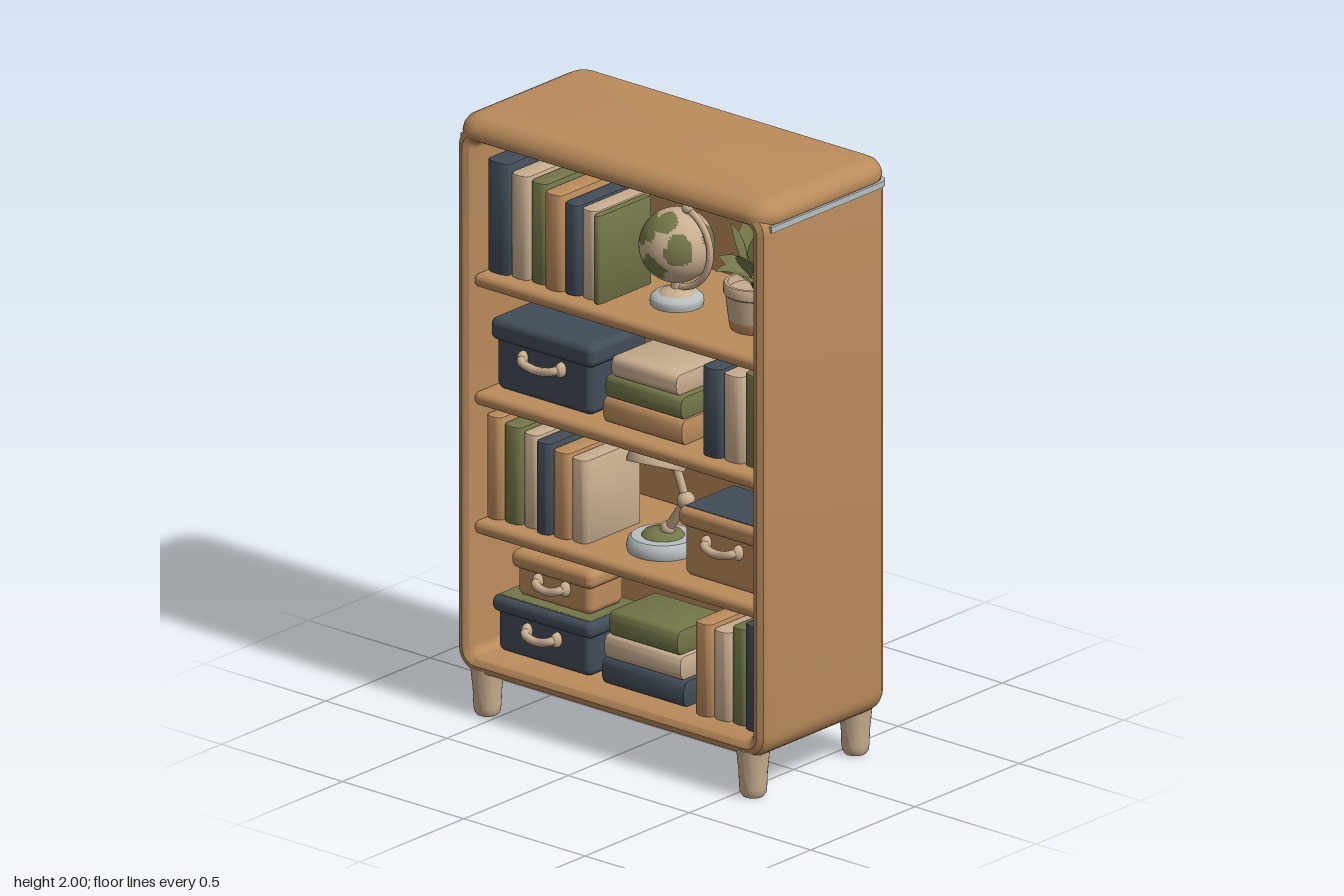
import * as THREE from 'three';
import { toCreasedNormals } from 'three/addons/utils/BufferGeometryUtils.js';
import { RoundedBoxGeometry } from 'three/addons/geometries/RoundedBoxGeometry.js';

const paint = (name, color, side = THREE.FrontSide) => {
  const m = new THREE.MeshStandardMaterial({ color, side });
  m.name = name;
  return m;
};

// Loop of a rounded rectangle, pulled in by inset (null collapses it to the centre)
function rectLoop(w, h, r, inset, z) {
  const pts = [], s = inset === null ? 0 : 1, i = inset ?? 0;
  const q = Math.max(r - i, 0.03), a = w / 2 - i - q, b = h / 2 - i - q;
  [[1, 1], [-1, 1], [-1, -1], [1, -1]].forEach(([sx, sy], c) => {
    for (let k = 0; k <= 6; k++) {
      const t = (c + k / 6) * Math.PI / 2;
      pts.push([s * (sx * a + q * Math.cos(t)), s * (sy * b + q * Math.sin(t)), z]);
    }
  });
  return pts;
}

// Skin over successive loops
function loft(loops) {
  const n = loops[0].length, index = [];
  for (let j = 0; j < loops.length - 1; j++) for (let i = 0; i < n; i++) {
    const a = j * n + i, b = j * n + (i + 1) % n;
    index.push(a, b, b + n, a, b + n, a + n);
  }
  const g = new THREE.BufferGeometry();
  g.setAttribute('position', new THREE.Float32BufferAttribute(loops.flat(2), 3));
  g.setIndex(index);
  return toCreasedNormals(g, 0.75);
}

export function createModel() {
  const model = new THREE.Group();
  model.name = 'bookcase';
  const wood = paint('wood', 0xbb8c5c), cream = paint('cream', 0xc9ae90);
  const olive = paint('olive', 0x737648, THREE.DoubleSide);
  const navy = paint('navy', 0x424d58), grey = paint('pale grey', 0xb6bec0);

  const add = (name, geo, mat, x = 0, y = 0, z = 0, parent = model) => {
    const m = new THREE.Mesh(geo, mat);
    m.name = name;
    m.position.set(x, y, z);
    parent.add(m);
    return m;
  };
  const group = (name, x = 0, y = 0, z = 0) => {
    const g = new THREE.Group();
    g.name = name;
    g.position.set(x, y, z);
    model.add(g);
    return g;
  };
  const V = (x, y, z) => new THREE.Vector3(x, y, z);
  const lathe = (pts) => toCreasedNormals(
    new THREE.LatheGeometry(pts.map(p => new THREE.Vector2(...p)), 28), 0.75);
  const tube = (pts, r) => new THREE.TubeGeometry(new THREE.CatmullRomCurve3(pts), 24, r, 10);

  // Hollow cabinet: back, rounded sides, rounded front rim, then the inside
  const shell = [[null, -0.298], [0.05, -0.298], [0.03, -0.294], [0.012, -0.282], [0.003, -0.266], [0, -0.248],
    [0, 0.272], [0.009, 0.293], [0.03, 0.302], [0.051, 0.293], [0.06, 0.272], [0.06, -0.25], [null, -0.25]];
  add('cabinet', loft(shell.map(([i, z]) => rectLoop(1.275, 1.835, 0.08, i, z))), wood, 0, 1.0575);

  // Cushioned top slab
  const slab = [[null, 1.922], [0.025, 1.922], [0.006, 1.93], [0, 1.945], [0.005, 1.965], [0.018, 1.984],
    [0.042, 1.997], [0.065, 2], [null, 2]];
  add('topSlab', loft(slab.map(([i, y]) => rectLoop(1.29, 0.62, 0.085, i, y))).rotateX(-Math.PI / 2), wood);

  // Pale seam round the sides and back, under the slab
  const seam = new THREE.Shape();
  seam.moveTo(0.641, -0.27).lineTo(0.641, 0.25).quadraticCurveTo(0.641, 0.302, 0.59, 0.302)
    .lineTo(-0.59, 0.302).quadraticCurveTo(-0.641, 0.302, -0.641, 0.25).lineTo(-0.641, -0.27)
    .lineTo(-0.61, -0.27).lineTo(-0.61, 0.27).lineTo(0.61, 0.27).lineTo(0.61, -0.27);
  add('seam', new THREE.ExtrudeGeometry(seam, { depth: 0.02, bevelEnabled: false })
    .rotateX(-Math.PI / 2), grey, 0, 1.906);

  for (const y of [0.622, 1.053, 1.448])
    add('shelf', new RoundedBoxGeometry(1.17, 0.045, 0.535, 4, 0.02), wood, 0, y, 0.012);

  // Feet
  const foot = lathe([[0, 0], [0.034, 0], [0.042, 0.012], [0.044, 0.03], [0.046, 0.08], [0.054, 0.16], [0, 0.16]]);
  for (const [x, z] of [[0.548, 0.25], [-0.548, 0.25], [0.548, -0.24], [-0.548, -0.1]])
    add('foot', foot, cream, x, 0, z);

  // Book with a rounded spine facing forward; thickness x, height y, depth z
  const book = (t, h, d) => {
    const b = 0.006, x = t / 2 - b, z = d / 2 - b, s = new THREE.Shape();
    s.moveTo(-x, -z).lineTo(x, -z).lineTo(x, z - 0.018)
      .quadraticCurveTo(x, z, 0, z).quadraticCurveTo(-x, z, -x, z - 0.018);
    const g = new THREE.ExtrudeGeometry(s, { depth: h - 2 * b, bevelSize: b, bevelThickness: b, bevelSegments: 2, curveSegments: 6 });
    return toCreasedNormals(g.rotateX(Math.PI / 2).center(), 0.6);
  };
  // Upright rows: base, first edge, then [right edge, top, colour]
  const rows = [
    [1.47, -0.572, [[-0.48, 1.845, navy], [-0.405, 1.82, cream], [-0.335, 1.81, olive], [-0.26, 1.795, wood],
      [-0.195, 1.775, navy], [-0.13, 1.77, cream], [-0.1, 1.768, olive]]],
    [1.075, 0.315, [[0.395, 1.375, navy], [0.475, 1.368, cream], [0.575, 1.385, olive]]],
    [0.644, -0.575, [[-0.51, 0.99, wood], [-0.435, 0.972, olive], [-0.37, 0.96, cream], [-0.308, 0.952, navy],
      [-0.237, 0.935, wood], [-0.17, 0.925, cream]]],
    [0.2, 0.285, [[0.355, 0.512, wood], [0.425, 0.5, cream], [0.49, 0.525, olive], [0.575, 0.555, navy]]],
  ];
  for (const [base, start, books] of rows) {
    let left = start;
    books.forEach(([right, top, mat], i) => {
      const d = 0.25 + 0.012 * (i % 2);
      add('book', book(right - left - 0.002, top - base, d), mat, (left + right) / 2, (base + top) / 2, 0.235 - d / 2 - 0.008 * (i % 3));
      left = right;
    });
  }
  // Lying stacks: [left, right, bottom, top, colour]
  for (const [l, r, b, t, mat] of [
    [-0.1, 0.228, 1.075, 1.16, wood], [-0.09, 0.225, 1.16, 1.235, olive], [-0.065, 0.205, 1.235, 1.305, cream],
    [-0.105, 0.235, 0.2, 0.287, navy], [-0.095, 0.222, 0.287, 0.367, cream], [-0.075, 0.21, 0.367, 0.45, olive]])
    add('stackedBook', book(t - b, r - l, 0.22).rotateZ(Math.PI / 2), mat, (l + r) / 2, (b + t) / 2, 0.11);

  // Lidded storage boxes with a front handle
  function storageBox(x, w, base, top, lidH, d, mat, handleY, handleW, panel) {
    const g = group('storageBox', x, 0, 0.09);
    add('boxBody', new RoundedBoxGeometry(w - 0.03, top - base - 0.01, d - 0.03, 4, 0.025), mat, 0, (base + top - 0.01) / 2, 0, g);
    add('boxLid', new RoundedBoxGeometry(w, lidH, d, 4, 0.024), mat, 0, top - lidH / 2, 0, g);
    if (panel) add('lidPanel', new RoundedBoxGeometry(w - 0.04, 0.006, d - 0.04, 2, 0.003), panel, 0, top, 0, g);
    const z = d / 2 - 0.016, e = handleW / 2 - 0.014;
    add('handle', tube([V(-e, 0.006, 0), V(-e * 0.85, 0, 0.03), V(0, -0.012, 0.036), V(e * 0.85, 0, 0.03), V(e, 0.006, 0)], 0.014),
      cream, 0, handleY, z, g);
    for (const s of [-1, 1])
      add('handleStud', new THREE.SphereGeometry(0.022, 14, 10).scale(0.8, 1.15, 1), cream, s * e, handleY + 0.002, z + 0.008, g);
  }
  storageBox(-0.352, 0.425, 1.075, 1.315, 0.075, 0.27, navy, 1.205, 0.185);
  storageBox(0.392, 0.365, 0.644, 0.875, 0.065, 0.27, wood, 0.775, 0.16, navy);
  storageBox(-0.352, 0.415, 0.2, 0.387, 0.055, 0.27, navy, 0.297, 0.15, olive);
  storageBox(-0.342, 0.335, 0.388, 0.54, 0.06, 0.2, wood, 0.458, 0.14);

  // Globe on a stand, with land picked from the sphere's faces
  const globe = group('globe', 0.07, 1.47, 0.06);
  add('globeBase', lathe([[0, 0], [0.083, 0], [0.086, 0.01], [0.084, 0.026], [0.07, 0.038], [0, 0.04]]), grey, 0, 0, 0, globe);
  add('globeNeck', lathe([[0.06, 0.036], [0.045, 0.048], [0.02, 0.056], [0.016, 0.085], [0, 0.085]]), cream, 0, 0, 0, globe);
  const lands = [[-0.5, 0.55, 0.65, 0.5], [0.1, 0.8, 0.55, 0.35], [-0.05, -0.4, 0.9, 0.36], [0.65, 0.15, 0.7, 0.42],
    [0.9, 0.3, -0.4, 0.4], [-0.2, 0.35, -0.9, 0.6], [-0.9, -0.3, 0.1, 0.35], [0.3, -0.6, -0.7, 0.35]]
    .map(([x, y, z, r]) => [V(x, y, z).normalize(), r]);
  const isLand = (p) => lands.some(([c, r]) => p.distanceTo(c) < r + 0.08 * Math.sin(9 * p.x + 5 * p.y) * Math.cos(8 * p.y + 4 * p.z));
  for (const [name, mat, want] of [['globeLand', olive, true], ['globeSea', cream, false]]) {
    const s = new THREE.SphereGeometry(0.12, 56, 40), src = s.index.array, pos = s.attributes.position, keep = [];
    for (let i = 0; i < src.length; i += 3) {
      const c = V(0, 0, 0);
      for (let k = 0; k < 3; k++) c.add(V(0, 0, 0).fromBufferAttribute(pos, src[i + k]));
      if (isLand(c.normalize()) === want) keep.push(src[i], src[i + 1], src[i + 2]);
    }
    s.setIndex(keep);
    add(name, s, mat, 0, 0.197, 0, globe);
  }
  add('globeArm', new THREE.TorusGeometry(0.137, 0.011, 10, 32, Math.PI * 0.9), cream, 0, 0.197, 0, globe).rotation.z = -1.6;
  add('globeArmKnob', new THREE.SphereGeometry(0.02, 14, 10), cream, 0.045, 0.332, 0, globe);

  // Potted plant
  const plant = group('plant', 0.39, 1.47, 0.06);
  add('potFoot', lathe([[0, 0], [0.074, 0], [0.079, 0.008], [0.083, 0.035]]), wood, 0, 0, 0, plant);
  add('pot', lathe([[0.083, 0.035], [0.092, 0.115], [0.098, 0.12], [0.099, 0.145], [0.094, 0.154], [0.084, 0.154], [0.08, 0.13], [0, 0.13]]),
    cream, 0, 0, 0, plant);
  const leaf = (L, W, tilt, droop) => {
    const g = new THREE.PlaneGeometry(2, 1, 4, 12), p = g.attributes.position;
    for (let i = 0; i < p.count; i++) {
      const s = p.getX(i), u = 0.5 - p.getY(i);
      const w = u < 0.3 ? 0.006 : 0.004 + W * Math.sin(Math.PI * ((u - 0.3) / 0.7) ** 0.8);
      p.setXYZ(i, L * u * Math.cos(tilt), L * u * Math.sin(tilt) - droop * u * u + 0.25 * w * Math.abs(s), s * w);
    }
    g.computeVertexNormals();
    return g;
  };
  for (const [az, L, W, tilt, droop] of [[0.15, 0.2, 0.036, 0.85, 0.07], [3.0, 0.2, 0.036, 0.85, 0.07], [0.9, 0.2, 0.034, 0.9, 0.09],
    [2.2, 0.2, 0.034, 0.9, 0.09], [1.5, 0.2, 0.03, 1.15, 0.05], [-0.5, 0.25, 0.036, 1.1, 0.03], [-2.5, 0.25, 0.036, 1.1, 0.03],
    [-1.5, 0.22, 0.034, 1.0, 0.06], [0.5, 0.25, 0.034, 1.3, 0.02], [2.7, 0.24, 0.034, 1.25, 0.02]])
    add('leaf', leaf(L, W, tilt, droop), olive, 0, 0.13, 0, plant).rotation.y = -az;

  // Desk lamp
  const lamp = group('deskLamp', 0.03, 0.644, 0.08);
  add('lampBase', lathe([[0, 0], [0.112, 0], [0.116, 0.012], [0.112, 0.036], [0.1, 0.048], [0, 0.05]]), grey, 0, 0, 0, lamp);
  add('lampCollar', lathe([[0.07, 0.046], [0.06, 0.06], [0.03, 0.068], [0, 0.07]]), olive, 0, 0, 0, lamp);
  add('lowerArm', tube([V(0.01, 0.06, 0), V(0.05, 0.115, 0), V(0.095, 0.185, 0)], 0.016), cream, 0, 0, 0, lamp);
  add('upperArm', tube([V(0.095, 0.185, 0), V(0.075, 0.24, 0), V(0.045, 0.31, 0)], 0.014), cream, 0, 0, 0, lamp);
  for (const [x, y, r] of [[0.02, 0.075, 0.024], [0.095, 0.187, 0.029], [0.05, 0.295, 0.022]])
    add('lampJoint', new THREE.SphereGeometry(r, 16, 12), cream, x, y, 0, lamp);
  const head = new THREE.Group();
  head.name = 'lampHead';
  head.position.set(-0.015, 0.305, 0.01);
  head.rotation.set(-0.4, 0, 0.08);
  lamp.add(head);
  add('lampShade', lathe([[0.078, -0.028], [0.094, -0.028], [0.096, -0.015], [0.086, 0.025], [0.06, 0.042], [0, 0.046]]), cream, 0, 0, 0, head);
  add('lampUnderside', new THREE.CircleGeometry(0.084, 28).rotateX(Math.PI / 2), navy, 0, -0.029, 0, head);

  return model;
}
